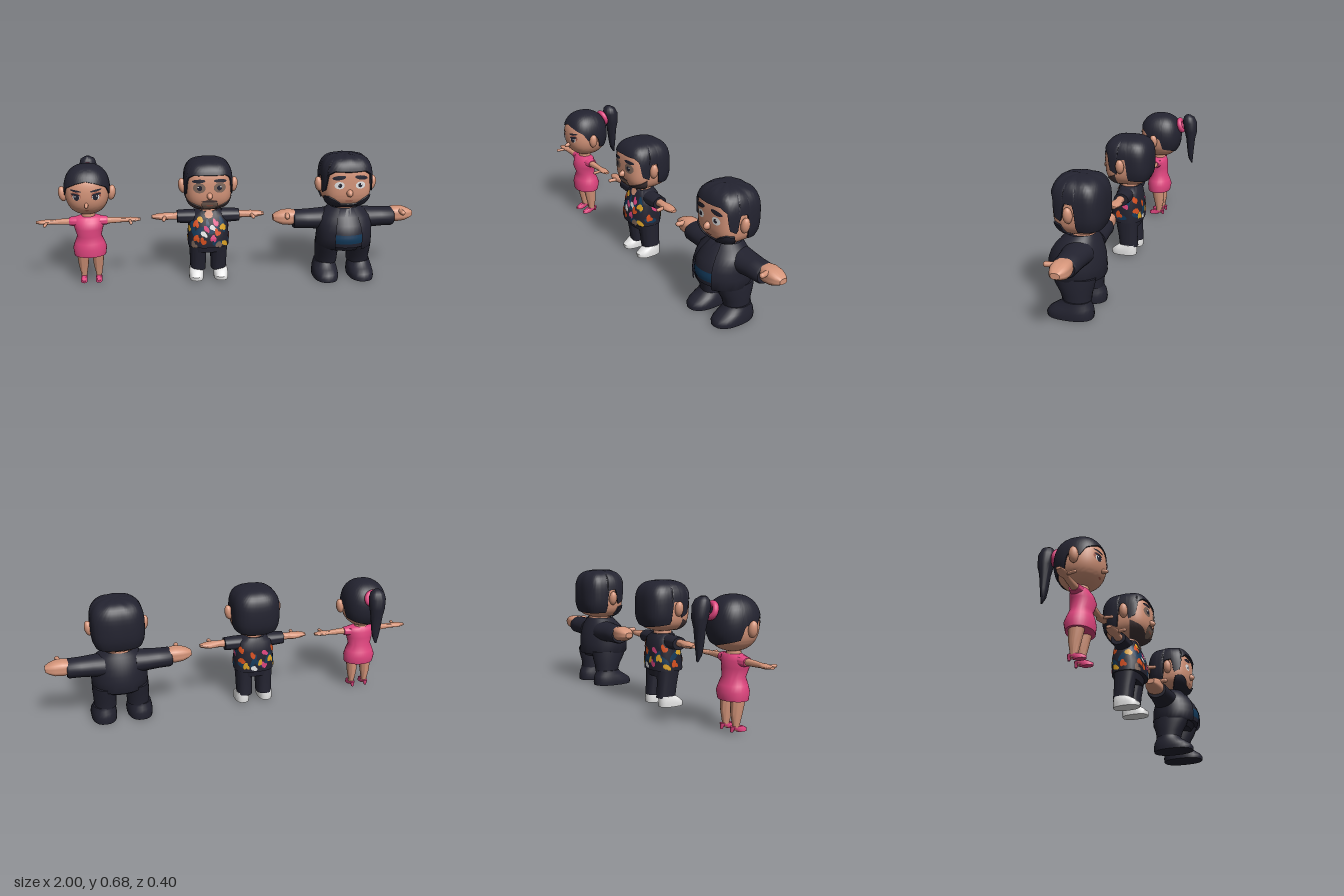
import * as THREE from 'three';
import { toCreasedNormals } from 'three/addons/utils/BufferGeometryUtils.js';

const flat = (name, color) => {
  const m = new THREE.MeshStandardMaterial({ color, side: THREE.DoubleSide });
  m.name = name;
  return m;
};
const M = {
  dark: flat('navy black', 0x232330), skin: flat('skin', 0xd5957a), pink: flat('pink', 0xe0457f),
  white: flat('white', 0xe6e6e6), teal: flat('teal', 0x12395a), orange: flat('orange', 0xd9501e),
  yellow: flat('yellow', 0xe0a526), stubble: flat('stubble', 0x80685c), beard: flat('short beard', 0x46383a),
  mouth: flat('mouth', 0xa8604f),
};
const TAU = Math.PI * 2, rad = THREE.MathUtils.degToRad, lerp = THREE.MathUtils.lerp;

// Grid of quads from f(u, v, row) -> [x, y, z]; u runs around, v runs up
function grid(cols, rows, f) {
  const pos = [], idx = [];
  for (let j = 0; j <= rows; j++) for (let i = 0; i <= cols; i++) pos.push(...f(i / cols, j / rows, j));
  for (let j = 0; j < rows; j++) for (let i = 0; i < cols; i++) {
    const a = j * (cols + 1) + i, c = a + cols + 1;
    idx.push(a, a + 1, c + 1, a, c + 1, c);
  }
  const g = new THREE.BufferGeometry();
  g.setAttribute('position', new THREE.Float32BufferAttribute(pos, 3));
  g.setIndex(idx);
  return toCreasedNormals(g, 0.85);
}
function add(parent, name, geo, mat, x = 0, y = 0, z = 0) {
  const m = new THREE.Mesh(geo, mat);
  m.name = name;
  m.position.set(x, y, z);
  parent.add(m);
  return m;
}

// Cross-section: [y, rx, rz, cz, roundness]
function ring([y, rx, rz, cz = 0, p = 2], az, s = 1) {
  const sn = Math.sin(az), cs = Math.cos(az);
  const r = s * (Math.abs(sn / rx) ** p + Math.abs(cs / rz) ** p) ** (-1 / p);
  return [r * sn, y, r * cs + cz];
}
// Solid through the sections, or an open shell between two angles
function loft(secs, a0 = 0, a1 = TAU) {
  let s = secs;
  if (a1 - a0 > 6.28) {
    const tip = (q) => [q[0], 0.0005, 0.0005, q[3], q[4]];
    s = [tip(secs[0]), ...secs, tip(secs[secs.length - 1])];
  }
  return grid(32, s.length - 1, (u, v, j) => ring(s[j], lerp(a0, a1, u)));
}
// Surface functions (angle, height, scale) used to lay patches on
const bodySurface = (secs) => (az, y, s) => {
  let k = 0;
  while (k < secs.length - 2 && secs[k + 1][0] < y) k++;
  const a = secs[k], b = secs[k + 1], t = (y - a[0]) / (b[0] - a[0]);
  return ring([0, 1, 2, 3, 4].map((n) => lerp(a[n] ?? 2, b[n] ?? 2, t)), az, s);
};
const headSurface = ({ y: cy, z: cz, a, b, c, p }) => (az, y, s) => {
  const h = THREE.MathUtils.clamp((y - cy) / b, -1, 1);
  const k = (1 - Math.abs(h) ** p) ** (1 / p) + 1e-4;
  const q = ring([0, a * k, c * k, 0, p], az, s);
  return [q[0], cy + h * b * s, q[2] + cz];
};
// Elliptical patch on a surface
const patch = (surf, az, y, ra, ry, rot = 0, s = 1.02) => grid(20, 4, (u, v) => {
  const e = Math.cos(u * TAU) * (1 - v), f = Math.sin(u * TAU) * (1 - v);
  const dx = e * Math.cos(rot) * ra - f * Math.sin(rot) * ry;
  const dy = e * Math.sin(rot) * ra + f * Math.cos(rot) * ry;
  return surf(az + dx / 0.125, y + dy, s);
});
// Piecewise-linear lookup by angle in degrees, mirrored left and right
const lookup = (pts) => (az) => {
  let d = Math.abs(az) * 180 / Math.PI;
  if (d > 180) d = 360 - d;
  let k = 0;
  while (k < pts.length - 2 && pts[k + 1][0] < d) k++;
  const t = (d - pts[k][0]) / (pts[k + 1][0] - pts[k][0]);
  return lerp(pts[k][1], pts[k + 1][1], THREE.MathUtils.clamp(t, 0, 1));
};

// Head with hair shell, ears, nose and face
function buildHead(g, o) {
  const S = headSurface(o), { y: cy, z: cz, a, b, c } = o;
  const rise = (lo, t) => cy + b * Math.sin(lerp(Math.asin(THREE.MathUtils.clamp((lo - cy) / b, -1, 1)), Math.PI / 2, 1 - (1 - t) ** 2));
  add(g, 'head', grid(48, 40, (u, v) => S(u * TAU, cy - b * Math.cos(v * Math.PI), 1)), M.skin);
  const line = lookup(o.hairline);
  add(g, 'hair', grid(120, 20, (u, v, j) => {
    const az = u * TAU - Math.PI, t = Math.max(0, (j - 1) / 19);
    const wave = o.wave * (Math.sin(az * 9 + t * 5) + 0.6 * Math.cos(az * 4)) * Math.sin(t * Math.PI);
    const quiff = o.quiff * Math.max(0, Math.cos(az)) ** 3 * (1 - t);
    return S(az, rise(line(az), t), j === 0 ? 0.97 : o.thick + wave + quiff);
  }), M.dark);
  if (o.beard) {
    const hi = lookup(o.beard), w = rad(68);
    add(g, 'beard', grid(60, 9, (u, v, j) => {
      const az = lerp(-w, w, u), lo = cy - b;
      return S(az, lerp(lo, hi(az), Math.min(1, j / 8)), j === 9 ? 0.98 : o.beardThick);
    }), o.beardMat);
  }
  for (const s of [-1, 1]) {
    const ear = add(g, 'ear', new THREE.SphereGeometry(1, 16, 12), M.skin, s * (a + 0.012), o.earY, cz + 0.018);
    ear.scale.set(0.021, 0.04, 0.023);
    ear.rotation.z = -s * 0.15;
    const e = s * Math.atan(o.eyeX / c);
    const put = (name, mat, x, y, rx, ry, rot, lift) => add(g, name, patch(S, e + s * x / 0.125, o.eyeY + y, rx, ry, rot * s, lift), mat);
    if (o.lens) put('eyeSurround', M.stubble, 0, 0, 0.03, 0.026, 0, 1.012);
    else put('eyeWhite', M.white, 0, 0, o.eyeR, o.eyeR * 0.8, 0, 1.012);
    put('pupil', M.dark, -0.002, 0, o.pupil, o.pupil * 1.1, 0, 1.022);
    put('eyeGlint', M.white, 0.004, 0.005, 0.0035, 0.0035, 0, 1.03);
    put('eyebrow', M.dark, 0.002, o.browY, 0.032, o.browH, o.browTilt, 1.03);
    if (o.lashes) {
      put('eyeShadow', M.mouth, 0.003, 0.007, 0.029, 0.02, 0.15, 1.006);
      put('lashes', M.dark, 0.004, 0.014, 0.025, 0.006, 0.12, 1.03);
    }
  }
  const nose = add(g, 'nose', new THREE.SphereGeometry(1, 16, 12), M.skin, 0, o.eyeY - 0.042, cz + c - 0.003);
  nose.scale.set(o.noseR, o.noseR * 1.15, 0.027);
  nose.rotation.x = 0.25;
  if (o.lens) {
    add(g, 'goatee', patch(S, 0, cy - 0.083, 0.044, 0.03, 0, 1.04), M.stubble);
    add(g, 'moustache', patch(S, 0, cy - 0.062, 0.04, 0.006, 0, 1.047), M.beard);
  }
  add(g, 'mouth', patch(S, 0, cy - 0.085, o.mouthW, 0.004, 0, o.lens ? 1.05 : 1.02), M.mouth);
}

// Sideways limb on both sides; section heights are distances from the centre line
function limbs(g, name, y, z, secs, mat) {
  for (const s of [-1, 1]) add(g, name, loft(secs), mat, 0, y, z).rotation.z = -s * Math.PI / 2;
}
function thumbs(g, x, y, z, r, len) {
  for (const s of [-1, 1]) {
    const t = add(g, 'thumb', new THREE.CapsuleGeometry(r, len, 6, 12), M.skin, s * x, y, z);
    t.rotation.set(Math.PI / 2, 0, -s * 0.15);
  }
}
function pair(g, name, x, secs, mat) {
  for (const s of [-1, 1]) add(g, name, loft(secs), mat, s * x, 0, 0);
}
function figure(root, name, x) {
  const g = new THREE.Group();
  g.name = name;
  g.position.x = x;
  root.add(g);
  return g;
}

function womanInDress(root) {
  const g = figure(root, 'womanInDress', -0.73);
  buildHead(g, { y: 0.513, z: 0.022, a: 0.113, b: 0.127, c: 0.117, p: 2.35, thick: 1.045, wave: 0, quiff: 0,
    hairline: [[0, 0.58], [25, 0.568], [55, 0.54], [70, 0.495], [78, 0.52], [98, 0.51], [108, 0.45], [180, 0.42]],
    earY: 0.497, eyeX: 0.052, eyeY: 0.502, eyeR: 0.02, pupil: 0.015, browY: 0.033, browH: 0.005, browTilt: 0.12, lashes: true, noseR: 0.01, mouthW: 0.015 });
  // Ponytail and its band
  add(g, 'ponytail', loft([[0.35, 0.005, 0.004, -0.172], [0.38, 0.016, 0.013, -0.164], [0.42, 0.024, 0.018, -0.162], [0.5, 0.033, 0.026, -0.161], [0.545, 0.041, 0.037, -0.161],
    [0.6, 0.045, 0.043, -0.154], [0.63, 0.037, 0.032, -0.149], [0.645, 0.014, 0.013, -0.143]]), M.dark);
  add(g, 'hairBand', new THREE.TorusGeometry(0.032, 0.015, 10, 24), M.pink, 0, 0.578, -0.1).rotation.x = 0.3;
  // Dress, neck and limbs
  add(g, 'neck', new THREE.CylinderGeometry(0.032, 0.036, 0.06, 20), M.skin, 0, 0.385, 0.03);
  add(g, 'dress', loft([[0.16, 0.083, 0.066, 0.03], [0.2, 0.088, 0.072, 0.028], [0.23, 0.078, 0.064, 0.03], [0.265, 0.063, 0.052, 0.032],
    [0.31, 0.074, 0.06, 0.04], [0.345, 0.084, 0.052, 0.035], [0.365, 0.078, 0.042, 0.032], [0.374, 0.045, 0.034, 0.03]]), M.pink);
  limbs(g, 'capSleeve', 0.345, 0.035, [[0.06, 0.026, 0.034], [0.09, 0.023, 0.028], [0.098, 0.02, 0.025]], M.pink);
  limbs(g, 'arm', 0.345, 0.038, [[0.07, 0.018, 0.022], [0.14, 0.015, 0.018], [0.19, 0.012, 0.015], [0.215, 0.012, 0.024], [0.24, 0.01, 0.022], [0.268, 0.006, 0.013]], M.skin);
  thumbs(g, 0.217, 0.343, 0.076, 0.008, 0.035);
  pair(g, 'leg', 0.039, [[0.02, 0.013, 0.016, 0.02], [0.05, 0.017, 0.02, 0.02], [0.1, 0.026, 0.03, 0.022], [0.18, 0.033, 0.04, 0.03]], M.skin);
  pair(g, 'shoe', 0.039, [[0.012, 0.017, 0.028, 0.052], [0.025, 0.017, 0.04, 0.04], [0.038, 0.015, 0.032, 0.025]], M.pink);
  pair(g, 'heel', 0.039, [[0.012, 0.006, 0.006, -0.004], [0.04, 0.014, 0.014, 0.002]], M.pink);
}

function manInPatternedShirt(root) {
  const g = figure(root, 'manInPatternedShirt', -0.107);
  buildHead(g, { y: 0.531, z: 0.033, a: 0.122, b: 0.128, c: 0.124, p: 3.1, thick: 1.045, wave: 0.003, quiff: 0.015,
    hairline: [[0, 0.6], [38, 0.598], [50, 0.58], [56, 0.5], [72, 0.48], [76, 0.56], [94, 0.56], [100, 0.45], [180, 0.43]],
    beard: [[0, 0.425], [20, 0.43], [38, 0.447], [55, 0.46], [68, 0.475]], beardMat: M.beard, beardThick: 1.025,
    earY: 0.525, eyeX: 0.053, eyeY: 0.537, pupil: 0.012, browY: 0.035, browH: 0.009, browTilt: -0.06, lens: true, noseR: 0.015, mouthW: 0.02 });
  add(g, 'neck', new THREE.CylinderGeometry(0.045, 0.05, 0.06, 20), M.skin, 0, 0.395, 0.035);
  const shirt = [[0.2, 0.108, 0.085, 0.04, 2.6], [0.25, 0.108, 0.086, 0.04, 2.6], [0.32, 0.104, 0.076, 0.035, 2.5], [0.365, 0.098, 0.062, 0.03, 2.4], [0.39, 0.06, 0.052, 0.032, 2.2]];
  add(g, 'shirt', loft(shirt), M.dark);
  // Shirt pattern: teal leaves under blossoms, placed by angle and height
  const S = bodySurface(shirt);
  for (let i = 0; i < 14; i++) add(g, 'shirtLeaf', patch(S, i * 2.4 + 0.5, 0.225 + (i * 5 % 14) * 0.008, 0.042, 0.015, i, 1.01), M.teal);
  const blossoms = [
    [-0.65, 0.352, M.yellow], [-0.85, 0.33, M.orange], [0.4, 0.335, M.pink], [0.2, 0.31, M.white], [-0.75, 0.255, M.orange], [-0.4, 0.24, M.orange],
    [-0.35, 0.278, M.white], [0.2, 0.255, M.pink], [0.45, 0.285, M.orange], [0.85, 0.222, M.yellow], [0.5, 0.22, M.stubble], [-0.9, 0.218, M.stubble],
    [-0.2, 0.305, M.pink], [0.8, 0.31, M.yellow], [1.3, 0.25, M.orange], [1.6, 0.3, M.pink], [-1.3, 0.3, M.yellow], [-1.6, 0.24, M.orange],
    [2.1, 0.33, M.orange], [2.2, 0.27, M.orange], [2.45, 0.24, M.yellow], [2.8, 0.3, M.orange], [2.9, 0.225, M.white], [3.3, 0.255, M.yellow],
    [3.5, 0.24, M.pink], [3.6, 0.31, M.pink], [3.9, 0.27, M.yellow], [4.2, 0.32, M.orange], [4.3, 0.225, M.yellow],
  ];
  blossoms.forEach(([az, y, mat], i) => {
    const s = 1.02 + i * 0.0003;
    add(g, 'shirtBlossom', patch(S, az, y, 0.021, 0.013, i, s), mat);
    add(g, 'shirtPetal', patch(S, az + 0.12, y - 0.008, 0.015, 0.01, i * 2, s), mat);
  });
  add(g, 'openNeck', patch(S, 0, 0.376, 0.045, 0.02, 0, 1.045), M.skin);
  for (const s of [-1, 1]) add(g, 'collar', patch(S, s * 0.5, 0.377, 0.035, 0.011, s * 0.6, 1.07), M.dark);
  limbs(g, 'sleeve', 0.352, 0.035, [[0.07, 0.036, 0.045], [0.11, 0.036, 0.044], [0.163, 0.033, 0.04]], M.dark);
  limbs(g, 'arm', 0.355, 0.037, [[0.14, 0.02, 0.023], [0.2, 0.018, 0.021], [0.225, 0.018, 0.03], [0.265, 0.015, 0.027], [0.296, 0.008, 0.015]], M.skin);
  thumbs(g, 0.232, 0.355, 0.078, 0.01, 0.034);
  // Trousers and shoes
  add(g, 'hips', loft([[0.165, 0.09, 0.062, 0.035, 2.6], [0.215, 0.1, 0.07, 0.037, 2.6]]), M.dark);
  pair(g, 'trouserLeg', 0.055, [[0.055, 0.041, 0.05, 0.022, 2.5], [0.12, 0.043, 0.052, 0.028, 2.4], [0.2, 0.047, 0.06, 0.035, 2.4]], M.dark);
  pair(g, 'shoe', 0.066, [[0.01, 0.038, 0.068, 0.045, 2.5], [0.03, 0.039, 0.07, 0.045, 2.5], [0.05, 0.037, 0.057, 0.034, 2.4], [0.066, 0.033, 0.044, 0.022, 2.2]], M.white);
}

function manInJacket(root) {
  const g = figure(root, 'manInJacket', 0.62);
  buildHead(g, { y: 0.531, z: 0.043, a: 0.131, b: 0.135, c: 0.12, p: 3.2, thick: 1.05, wave: 0.008, quiff: 0.055,
    hairline: [[0, 0.596], [35, 0.6], [48, 0.58], [53, 0.5], [68, 0.48], [73, 0.565], [92, 0.56], [97, 0.435], [180, 0.43]],
    beard: [[0, 0.425], [22, 0.428], [36, 0.455], [48, 0.468], [64, 0.462], [68, 0.42]], beardMat: M.dark, beardThick: 1.045,
    earY: 0.515, eyeX: 0.055, eyeY: 0.53, eyeR: 0.024, pupil: 0.01, browY: 0.04, browH: 0.011, browTilt: -0.15, noseR: 0.017, mouthW: 0.022 });
  add(g, 'neck', new THREE.CylinderGeometry(0.06, 0.066, 0.06, 20), M.skin, 0, 0.395, 0.045);
  // Shirt, hem and open jacket
  const belly = [[0.195, 0.128, 0.124, 0.068, 2], [0.24, 0.136, 0.13, 0.07, 2], [0.275, 0.134, 0.126, 0.068, 2], [0.31, 0.128, 0.114, 0.066, 2], [0.35, 0.115, 0.09, 0.06, 2], [0.39, 0.07, 0.065, 0.05, 2]];
  add(g, 'shirt', loft(belly), M.dark);
  const S = bodySurface(belly);
  add(g, 'shirtHem', grid(24, 4, (u, v) => S(lerp(-0.6, 0.6, u), lerp(0.218, 0.266, v), 1.01)), M.teal);
  add(g, 'jacket', loft([[0.182, 0.143, 0.132, 0.066], [0.19, 0.148, 0.137, 0.068], [0.24, 0.148, 0.138, 0.07], [0.275, 0.147, 0.135, 0.069], [0.31, 0.144, 0.123, 0.066],
    [0.345, 0.135, 0.105, 0.059], [0.37, 0.11, 0.086, 0.052], [0.393, 0.078, 0.072, 0.048]], 0.52, TAU - 0.52), M.dark);
  limbs(g, 'sleeve', 0.316, 0.036, [[0.08, 0.06, 0.076], [0.14, 0.055, 0.068], [0.2, 0.051, 0.062], [0.262, 0.05, 0.06], [0.272, 0.045, 0.054]], M.dark);
  limbs(g, 'hand', 0.328, 0.033, [[0.25, 0.034, 0.04, 0, 2.6], [0.29, 0.041, 0.047, 0, 2.8], [0.33, 0.037, 0.045, 0, 2.8], [0.36, 0.026, 0.036, 0, 2.6], [0.38, 0.014, 0.022, 0, 2.6]], M.skin);
  thumbs(g, 0.31, 0.349, 0.08, 0.013, 0.04);
  // Trousers and boots
  add(g, 'hips', loft([[0.165, 0.115, 0.095, 0.055], [0.2, 0.135, 0.112, 0.06]]), M.dark);
  pair(g, 'trouserLeg', 0.087, [[0.08, 0.058, 0.069, 0.044], [0.12, 0.06, 0.078, 0.048], [0.16, 0.062, 0.096, 0.054], [0.2, 0.06, 0.108, 0.058]], M.dark);
  pair(g, 'boot', 0.096, [[0, 0.066, 0.113, 0.075, 2.4], [0.018, 0.068, 0.115, 0.075, 2.4], [0.035, 0.067, 0.109, 0.07, 2.3], [0.055, 0.064, 0.093, 0.057, 2.2], [0.07, 0.06, 0.077, 0.049], [0.086, 0.057, 0.069, 0.044]], M.dark);
}

export function createModel() {
  const root = new THREE.Group();
  root.name = 'threeFigures';
  womanInDress(root);
  manInPatternedShirt(root);
  manInJacket(root);
  return root;
}
